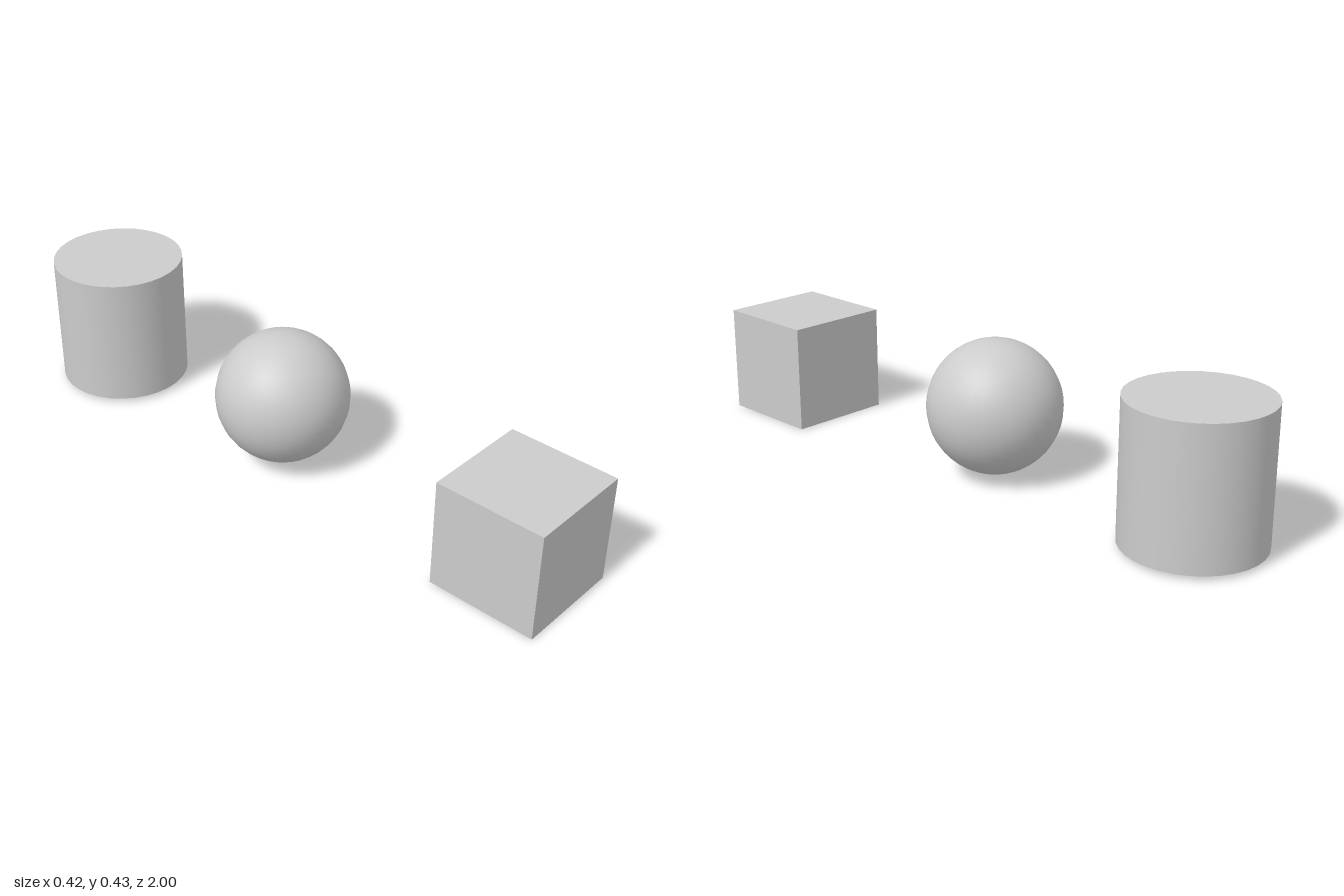
import * as THREE from 'three';

export function createModel() {
  const group = new THREE.Group();
  const material = new THREE.MeshStandardMaterial({ color: 0xcccccc });

  const add = (name, geometry, y, z) => {
    const mesh = new THREE.Mesh(geometry, material);
    mesh.name = name;
    mesh.position.set(0, y, z);
    group.add(mesh);
  };

  // Three separate solids in a row from front to back
  add('cube', new THREE.BoxGeometry(0.34, 0.34, 0.34), 0.17, 0.83);
  add('sphere', new THREE.SphereGeometry(0.206, 32, 24), 0.218, -0.056);
  add('cylinder', new THREE.CylinderGeometry(0.208, 0.208, 0.416, 32), 0.22, -0.792);

  return group;
}
